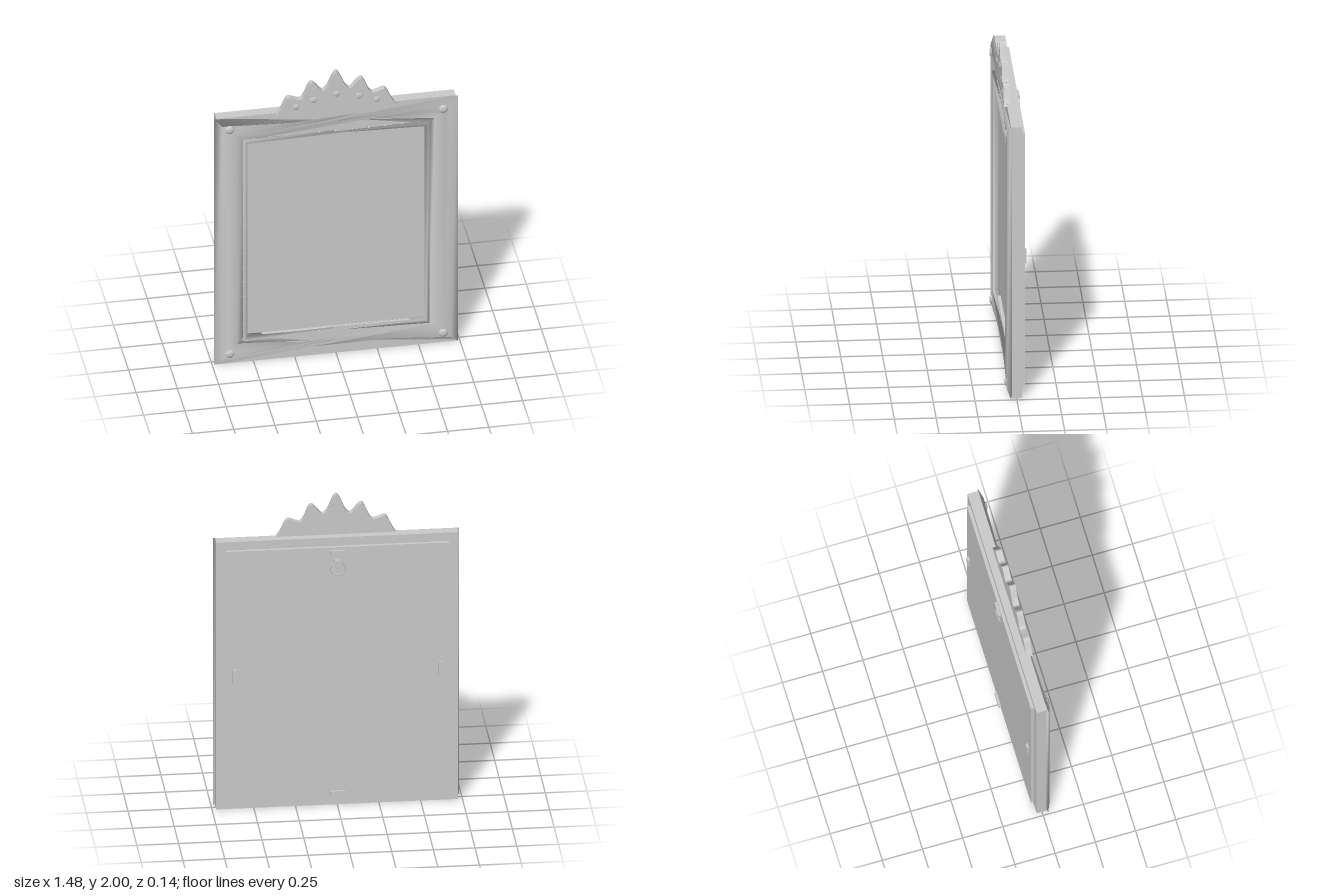
import * as THREE from 'three';

const grey = new THREE.MeshStandardMaterial({ color: 0xcccccc });
grey.name = 'paleGrey';
const MID = 0.872; // height of the frame's centre

export function createModel() {
  const group = new THREE.Group();
  const add = (name, geometry, x = 0, y = 0, z = 0) => {
    const mesh = new THREE.Mesh(geometry, grey);
    mesh.name = name;
    mesh.position.set(x, y, z);
    group.add(mesh);
    return mesh;
  };
  const box = (name, w, h, d, x, y, z) => add(name, new THREE.BoxGeometry(w, h, d), x, y, z);

  // Frame body: a flat rectangle with an opening
  const rect = (P, a, b) => new P([[-a, -b], [a, -b], [a, b], [-a, b]].map(p => new THREE.Vector2(...p)));
  const body = rect(THREE.Shape, 0.725, 0.872);
  body.holes.push(rect(THREE.Path, 0.542, 0.69));
  add('frameBody', new THREE.ExtrudeGeometry(body, { depth: 0.066, bevelEnabled: false }), 0, MID, -0.033);
  box('picturePanel', 1.1, 1.4, 0.02, 0, MID, 0.002);

  // Closed profile [outward, z] joined corner to corner, half-turned along top and bottom
  const moulding = (name, profile, hx, hy) => {
    const n = profile.length, points = [], index = [];
    [[-1, 1, 0], [1, 1, n / 2], [1, -1, n / 2], [-1, -1, 0]].forEach(([sx, sy, shift], c) => {
      for (let i = 0; i < n; i++) {
        const [a, z] = profile[(i + shift) % n];
        points.push(sx * (hx + a), MID + sy * (hy + a), z);
        const j = (i + 1) % n, d = (c + 1) % 4;
        const A = c * n + i, B = d * n + i, C = c * n + j, D = d * n + j;
        index.push(A, B, C, C, B, D);
      }
    });
    const geometry = new THREE.BufferGeometry();
    geometry.setAttribute('position', new THREE.Float32BufferAttribute(points, 3));
    geometry.setIndex(index);
    geometry.computeVertexNormals();
    add(name, geometry);
  };
  moulding('outerMoulding', [[-0.085, 0.034], [-0.05, 0.042], [0.005, 0.058], [0.045, 0.056],
    [0.09, 0.035], [0.05, 0.015], [0, -0.01], [-0.045, 0.015]], 0.648, 0.782);
  moulding('innerLip', [[-0.012, 0.01], [-0.012, 0.055], [0.012, 0.055], [0.012, 0.01]], 0.552, 0.7);

  // Domed studs in the four corners
  const stud = new THREE.SphereGeometry(0.028, 20, 12).scale(1, 1, 0.45);
  for (const x of [-0.647, 0.647])
    for (const y of [0.08, 1.67]) add('cornerStud', stud, x, y, 0.054);

  // Fine beading around the opening
  const bead = new THREE.SphereGeometry(0.008, 8, 6);
  for (const s of [-1, 1]) {
    for (let i = -6; i <= 6; i++) add('sideBead', bead, s * 0.56, MID + i * 0.1, 0.045);
    for (let i = -5; i <= 5; i++) add('endBead', bead, i * 0.1, MID + s * 0.706, 0.033);
  }

  // Scalloped crest on the top edge
  const half = [[-0.365, 1.73], [-0.335, 1.775], [-0.31, 1.83], [-0.29, 1.852], [-0.255, 1.84],
    [-0.215, 1.832], [-0.19, 1.87], [-0.165, 1.928], [-0.148, 1.94], [-0.125, 1.922], [-0.095, 1.885],
    [-0.075, 1.88], [-0.05, 1.91], [-0.02, 1.98], [0, 2]];
  const outline = [...half, ...half.slice(0, -1).reverse().map(([x, y]) => [-x, y])]
    .map(p => new THREE.Vector2(...p));
  const crest = new THREE.Shape();
  crest.moveTo(outline[0].x, outline[0].y);
  crest.splineThru(outline.slice(1));
  crest.closePath();
  add('crest', new THREE.ExtrudeGeometry(crest, { depth: 0.038, bevelEnabled: false, curveSegments: 2 }), 0, 0, 0.012);
  const crestStud = new THREE.SphereGeometry(0.02, 20, 12).scale(1, 1, 0.3);
  for (const [x, y] of [[-0.245, 1.783], [-0.138, 1.82], [0, 1.85], [0.138, 1.82], [0.245, 1.783]])
    add('crestStud', crestStud, x, y, 0.049);

  // Backing board, retaining clips and hanging ring
  box('backBoard', 1.34, 1.634, 0.022, 0, MID, -0.042);
  for (const s of [-1, 1]) {
    box('sideClip', 0.026, 0.09, 0.016, s * 0.618, MID, -0.059);
    box('endClip', 0.09, 0.026, 0.016, 0, MID + s * 0.785, -0.059);
  }
  box('ringBracket', 0.035, 0.02, 0.018, 0, 1.598, -0.061);
  add('hangingRing', new THREE.TorusGeometry(0.044, 0.003, 8, 32), 0, 1.553, -0.058);

  return group;
}
